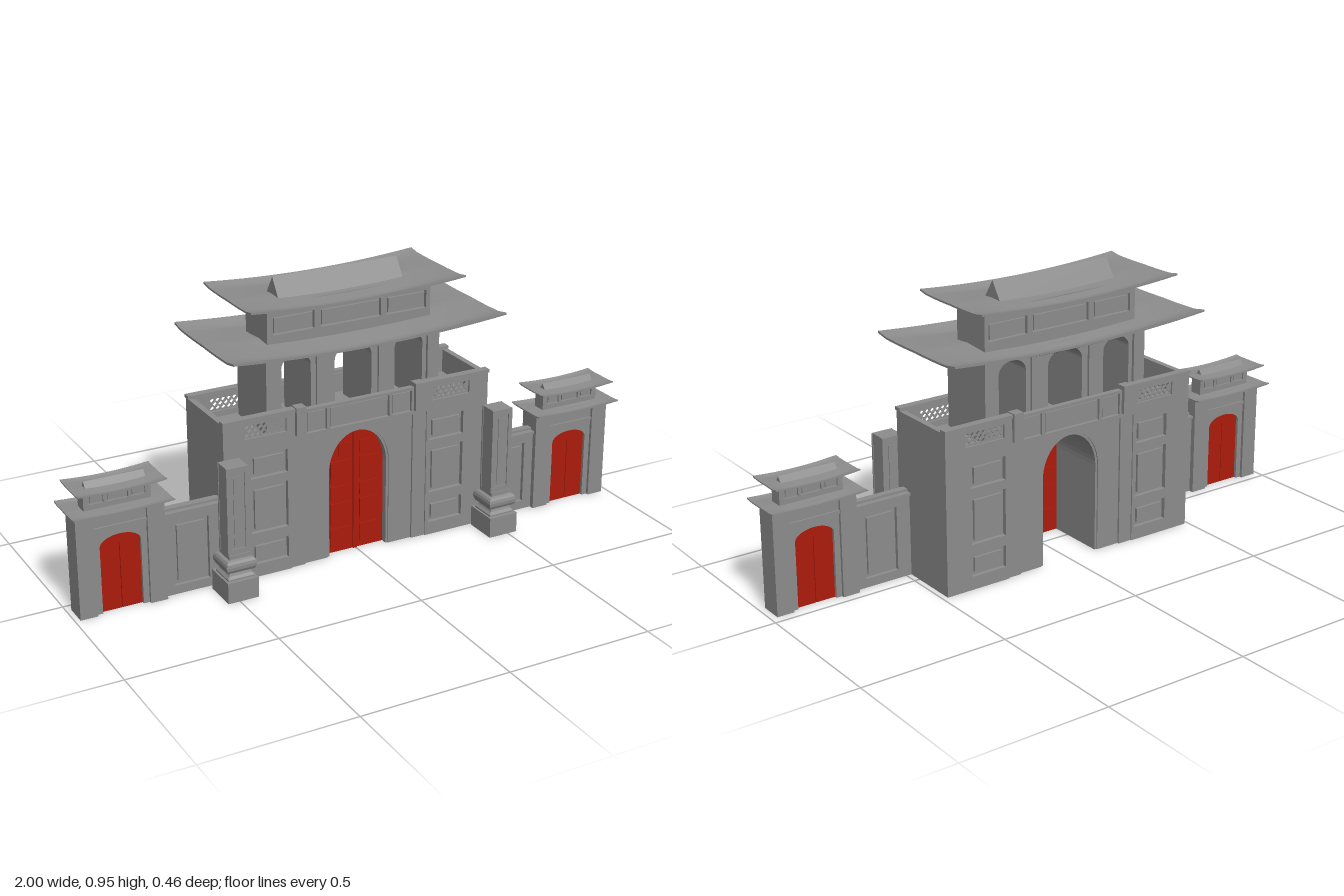
import * as THREE from 'three';

const grey = new THREE.MeshStandardMaterial({ color: 0x8c8c8c });
const red = new THREE.MeshStandardMaterial({ color: 0xac1b0d });

function add(parent, name, geo, mat = grey) {
  const m = new THREE.Mesh(geo, mat);
  m.name = name;
  parent.add(m);
  return m;
}

// Box given by its limits
function box(parent, name, x0, x1, y0, y1, z0, z1, mat) {
  const g = new THREE.BoxGeometry(Math.abs(x1 - x0), y1 - y0, Math.abs(z1 - z0));
  g.translate((x0 + x1) / 2, (y0 + y1) / 2, (z0 + z1) / 2);
  return add(parent, name, g, mat);
}

// Extrusion centred on z = zc
function slab(parent, name, shape, zc, depth, mat) {
  const g = new THREE.ExtrudeGeometry(shape, { depth, bevelEnabled: false, curveSegments: 14 });
  g.translate(0, 0, zc - depth / 2);
  return add(parent, name, g, mat);
}

// Wall outline with arched openings that reach its foot; arch = [cx, halfWidth, spring, top]
function wall(x0, x1, y0, y1, arches = []) {
  const s = new THREE.Shape();
  s.moveTo(x0, y0);
  for (const [cx, hw, spring, top] of arches) {
    s.lineTo(cx - hw, y0);
    s.lineTo(cx - hw, spring);
    s.absellipse(cx, spring, hw, top - spring, Math.PI, 0, true);
    s.lineTo(cx + hw, y0);
  }
  s.lineTo(x1, y0);
  s.lineTo(x1, y1);
  s.lineTo(x0, y1);
  s.closePath();
  return s;
}

// Filled arch centred on x = 0
function archShape(hw, y0, spring, top) {
  const s = new THREE.Shape();
  s.moveTo(-hw, y0);
  s.lineTo(hw, y0);
  s.lineTo(hw, spring);
  s.absellipse(0, spring, hw, top - spring, 0, Math.PI, false);
  s.closePath();
  return s;
}

const hole = pts => new THREE.Path(pts.map(p => new THREE.Vector2(...p)));
const rectHole = (x0, x1, y0, y1) => hole([[x0, y0], [x0, y1], [x1, y1], [x1, y0]]);

// Plate with rectangular recesses, each holding a raised inner field
function panelled(parent, name, lim, rects, zc, depth, inset) {
  const s = wall(...lim);
  for (const r of rects) s.holes.push(rectHole(...r));
  slab(parent, name, s, zc, depth);
  for (const [a, b, c, d] of rects)
    box(parent, name + 'Field', a + inset, b - inset, c + inset, d - inset, zc - depth * 0.3, zc + depth * 0.3);
}

// Sagging roof sheet with upturned eaves and lifted ends; the eave dip fades towards the ends
function roof(parent, name, cx, y, cz, hx, hz, lift, sag, t) {
  const g = new THREE.BoxGeometry(2 * hx, t, 2 * hz, 20, 1, 18);
  const p = g.attributes.position;
  for (let i = 0; i < p.count; i++) {
    const u = p.getX(i) / hx, w = Math.abs(p.getZ(i) / hz);
    const f = w < 0.78 ? -w / 0.78 : -1 + 1.15 * (w - 0.78) / 0.22;
    p.setY(i, p.getY(i) + y + lift * u * u * (0.62 + 0.38 * w * w) + sag * f * (1 - 0.75 * u * u));
  }
  g.computeVertexNormals();
  g.translate(cx, 0, cz);
  add(parent, name, g);
}

// Triangular ridge block
function ridge(parent, cx, y0, y1, cz, hx, hz) {
  const s = new THREE.Shape([[-hz, y0], [hz, y0], [0, y1]].map(p => new THREE.Vector2(...p)));
  const g = new THREE.ExtrudeGeometry(s, { depth: 2 * hx, bevelEnabled: false });
  g.translate(0, 0, -hx).rotateY(Math.PI / 2).translate(cx, 0, cz);
  add(parent, 'ridge', g);
}

function mainGate() {
  const g = new THREE.Group();
  g.name = 'mainGate';
  g.position.z = -0.0275;
  slab(g, 'gateBody', wall(-0.485, 0.485, 0, 0.465, [[0, 0.106, 0.3, 0.43]]), 0, 0.245);
  for (const s of [1, -1]) {
    // Side bays, parapets and posts on both faces
    for (const k of [1, -1]) {
      const span = (a, b, c, d) => k > 0 ? [a, b, c, d] : [-b, -a, c, d];
      panelled(g, 'sideBay', span(0.25, 0.485, 0, 0.45), [[0.045, 0.12], [0.155, 0.315], [0.345, 0.425]]
        .map(([c, d]) => span(0.262, 0.392, c, d)), s * 0.13, 0.015, 0.013);
      box(g, 'pilaster', k * 0.2, k * 0.25, 0, 0.45, s * 0.12, s * 0.133);
      const parapet = wall(...span(0.235, 0.485, 0.45, 0.545));
      parapet.holes.push(rectHole(...span(0.265, 0.413, 0.485, 0.53)));
      slab(g, 'parapet', parapet, s * 0.1275, 0.02);
      const [lx0, lx1] = span(0.265, 0.413);
      const lattice = wall(lx0, lx1, 0.484, 0.531);
      for (let r = 0; r < 3; r++) for (let c = 0; c < 7 - r % 2; c++) {
        const x = lx0 + 0.014 + 0.02 * (c + (r % 2) / 2), y = 0.4935 + r * 0.014, e = 0.008;
        lattice.holes.push(hole([[x - e, y], [x, y + e], [x + e, y], [x, y - e]]));
      }
      slab(g, 'lattice', lattice, s * 0.1275, 0.006);
      box(g, 'coping', k * 0.2, k * 0.487, 0.545, 0.556, s * 0.115, s * 0.142);
      box(g, 'post', k * 0.2, k * 0.235, 0.465, 0.56, s * 0.115, s * 0.1505);
    }
    panelled(g, 'centreBand', [-0.235, 0.235, 0.45, 0.545],
      [[-0.192, -0.12, 0.462, 0.535], [-0.108, 0.108, 0.462, 0.535], [0.12, 0.192, 0.462, 0.535]], s * 0.1275, 0.02, 0.004);
    slab(g, 'archSurround', wall(-0.2, 0.2, 0, 0.45, [[0, 0.114, 0.3, 0.438]]), s * 0.1235, 0.006);
  }
  for (const k of [1, -1])
    box(g, 'sideParapet', k * 0.465, k * 0.485, 0.45, 0.545, -0.1375, 0.1375);

  // Double door with raised panels
  slab(g, 'mainDoor', archShape(0.106, 0, 0.3, 0.43), 0.095, 0.012, red);
  for (const k of [1, -1]) {
    for (const [a, b] of [[0.02, 0.085], [0.1, 0.175], [0.19, 0.235], [0.25, 0.325]])
      box(g, 'doorPanel', k * 0.018, k * 0.09, a, b, 0.085, 0.105, red);
    box(g, 'doorPanel', k * 0.018, k * 0.06, 0.34, 0.385, 0.085, 0.105, red);
  }
  box(g, 'doorStile', -0.007, 0.007, 0, 0.42, 0.085, 0.106, red);
  return g;
}

function pavilion() {
  const g = new THREE.Group();
  g.name = 'pavilion';
  g.position.z = -0.031;
  slab(g, 'arcade', wall(-0.31, 0.31, 0.46, 0.745,
    [[-0.205, 0.052, 0.675, 0.717], [0, 0.067, 0.67, 0.72], [0.205, 0.052, 0.675, 0.717]]), 0, 0.188);
  for (const k of [1, -1]) {
    box(g, 'cornerPier', k * 0.272, k * 0.315, 0.46, 0.742, -0.104, 0.104);
    box(g, 'innerPier', k * 0.09, k * 0.135, 0.46, 0.735, -0.102, 0.102);
  }
  box(g, 'beam', -0.315, 0.315, 0.727, 0.744, -0.104, 0.104);
  // Upper storey with three panels on each long face
  box(g, 'upperStorey', -0.29, 0.29, 0.74, 0.885, -0.062, 0.062);
  for (const s of [1, -1]) {
    panelled(g, 'upperPanels', [-0.295, 0.295, 0.74, 0.887],
      [[-0.275, -0.128, 0.785, 0.845], [-0.106, 0.112, 0.785, 0.845], [0.134, 0.28, 0.785, 0.845]], s * 0.0685, 0.014, 0.006);
    box(g, 'upperEnd', s * 0.285, s * 0.295, 0.74, 0.887, -0.065, 0.065);
  }
  roof(g, 'lowerRoof', 0, 0.753, 0.018, 0.487, 0.217, 0.024, 0.018, 0.007);
  roof(g, 'upperRoof', -0.016, 0.888, 0.006, 0.381, 0.171, 0.019, 0.012, 0.006);
  ridge(g, -0.016, 0.885, 0.952, 0.006, 0.224, 0.044);
  return g;
}

// Square column on a moulded foot
function column(x) {
  const g = new THREE.Group();
  g.name = 'column';
  g.position.set(x, 0, 0.174);
  box(g, 'plinth', -0.053, 0.053, 0, 0.07, -0.059, 0.059);
  const prof = [[0, 0.068], [0.046, 0.068], [0.046, 0.075], [0.039, 0.083], [0.036, 0.092], [0.046, 0.097], [0.051, 0.107], [0.052, 0.118],
    [0.05, 0.128], [0.045, 0.135], [0.036, 0.138], [0.036, 0.146], [0.036, 0.152], [0, 0.152]];
  const foot = new THREE.LatheGeometry(prof.map(([r, y]) => new THREE.Vector2(r * Math.SQRT2, y)), 4).toNonIndexed();
  foot.rotateY(Math.PI / 4);
  foot.computeVertexNormals();
  add(g, 'moulding', foot);
  box(g, 'shaft', -0.036, 0.036, 0.15, 0.445, -0.029, 0.029);
  for (const s of [1, -1])
    panelled(g, 'shaftFace', [-0.038, 0.038, 0.15, 0.445], [[-0.024, 0.024, 0.17, 0.425]], s * 0.03, 0.006, 0.01);
  return g;
}

// Side gate with wing wall, k = +1 or -1
function sideGate(k) {
  const g = new THREE.Group();
  g.name = 'sideGate';
  g.position.set(k * 0.834, 0, 0.07);
  slab(g, 'sideBody', wall(-0.14, 0.14, 0, 0.348, [[0, 0.068, 0.225, 0.26]]), 0, 0.06);
  for (const s of [1, -1]) {
    box(g, 'pier', s * 0.088, s * 0.146, 0, 0.335, -0.04, 0.04);
    box(g, 'lintel', -0.1, 0.1, 0.285, 0.295, s * 0.03, s * 0.037);
    box(g, 'doorLeaf', s * 0.001, s * 0.0685, 0, 0.226, -0.02, 0.02, red);
    box(g, 'upperPost', s * 0.1, s * 0.11, 0.355, 0.42, -0.023, 0.023);
    panelled(g, 'sidePanels', [-0.11, 0.11, 0.355, 0.42], [[-0.092, -0.045, 0.372, 0.405],
      [-0.035, 0.035, 0.372, 0.405], [0.045, 0.092, 0.372, 0.405]], s * 0.019, 0.008, 0.005);
  }
  slab(g, 'doorHead', archShape(0.068, 0.224, 0.225, 0.26), 0, 0.04, red);
  box(g, 'cornice', -0.146, 0.146, 0.33, 0.35, -0.04, 0.04);
  box(g, 'sideUpper', -0.108, 0.108, 0.345, 0.42, -0.016, 0.016);
  roof(g, 'sideLowerRoof', 0, 0.351, 0, 0.165, 0.082, 0.007, 0.006, 0.004);
  roof(g, 'sideUpperRoof', 0, 0.42, 0, 0.145, 0.073, 0.008, 0.005, 0.004);
  ridge(g, 0, 0.415, 0.442, 0, 0.098, 0.019);
  // Wing wall to the main gate
  const [x0, x1] = k > 0 ? [-0.36, -0.13] : [0.13, 0.36];
  const [p0, p1] = k > 0 ? [-0.3, -0.18] : [0.18, 0.3];
  box(g, 'wingWall', x0, x1, 0, 0.282, -0.01, 0.01);
  for (const s of [1, -1])
    panelled(g, 'wingFace', [x0, x1, 0, 0.28], [[p0, p1, 0.03, 0.248]], s * 0.016, 0.014, 0.012);
  box(g, 'wingCap', x0, x1, 0.276, 0.286, -0.03, 0.03);
  box(g, 'wingCapTop', x0, x1, 0.284, 0.294, -0.011, 0.011);
  return g;
}

export function createModel() {
  const root = new THREE.Group();
  root.name = 'gateway';
  const all = new THREE.Group();
  all.name = 'gatehouse';
  all.position.x = -0.003;
  all.add(mainGate(), pavilion());
  for (const k of [1, -1]) all.add(column(k * 0.484), sideGate(k));
  root.add(all);
  return root;
}
